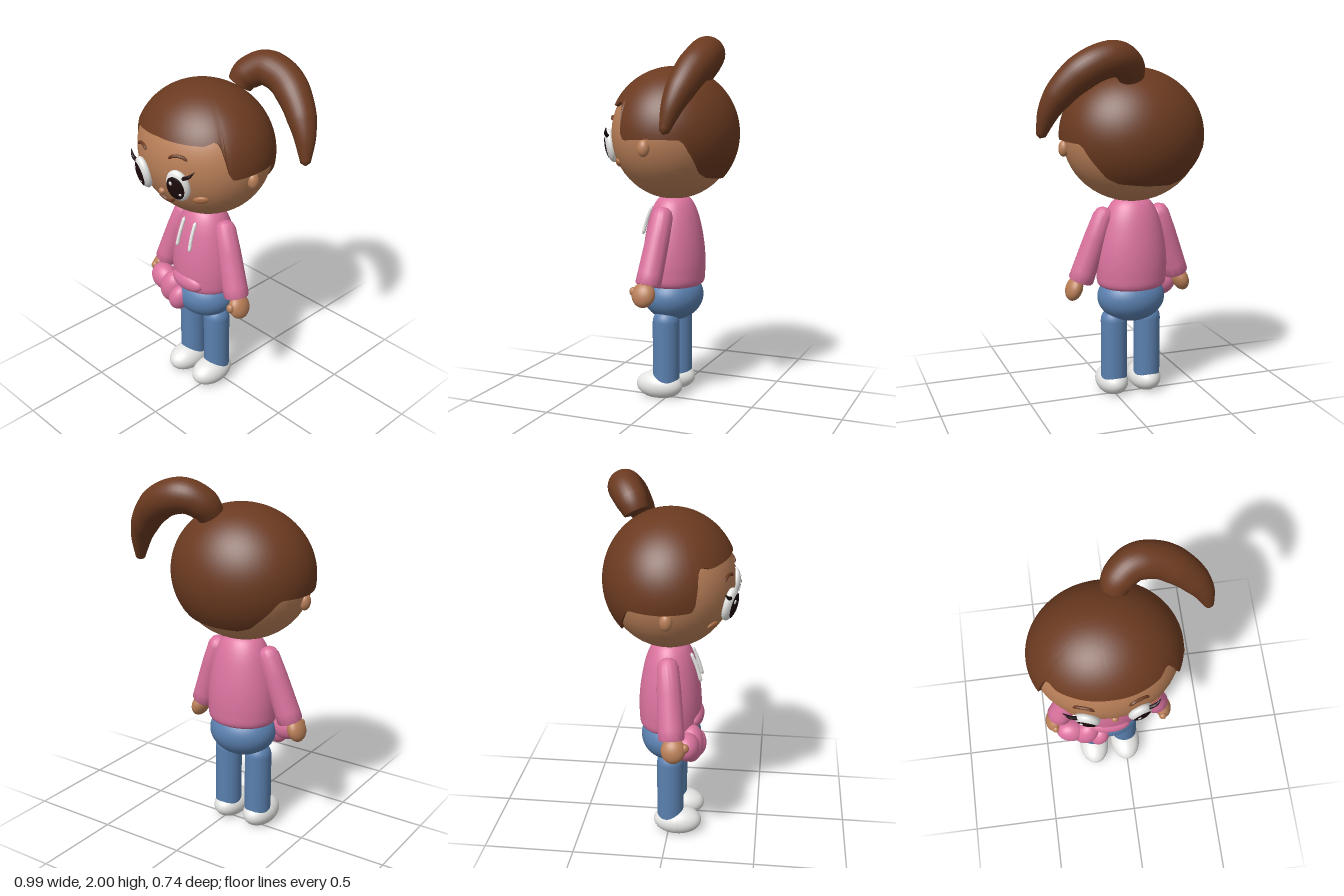
import * as THREE from 'three';
import { toCreasedNormals } from 'three/addons/utils/BufferGeometryUtils.js';

const mat = (name, color) => Object.assign(new THREE.MeshStandardMaterial({ color }), { name });
const V = (x, y, z) => new THREE.Vector3(x, y, z);
const CX = -0.1; // body axis

function add(parent, name, geometry, material, pos = [0, 0, 0]) {
  const mesh = new THREE.Mesh(geometry, material);
  mesh.name = name;
  mesh.position.set(...pos);
  parent.add(mesh);
  return mesh;
}

function ellipsoid(parent, name, material, pos, radii, roll = 0) {
  const mesh = add(parent, name, new THREE.SphereGeometry(1, 40, 28), material, pos);
  mesh.scale.set(...radii);
  mesh.rotation.z = roll;
  return mesh;
}

// Smooth lathe from a few [radius, y] points, listed bottom to top
function lathe(points) {
  const curve = new THREE.SplineCurve(points.map(p => new THREE.Vector2(...p)));
  const profile = curve.getPoints(40).map(p => new THREE.Vector2(Math.max(p.x, 0), p.y));
  return new THREE.LatheGeometry(profile, 40);
}

// Linear lookup in a list of [key, value] pairs
function lookup(table, k) {
  for (let i = 1; i < table.length; i++) {
    const [k0, v0] = table[i - 1], [k1, v1] = table[i];
    if (k <= k1) return v0 + (v1 - v0) * (k - k0) / (k1 - k0);
  }
  return table[table.length - 1][1];
}

// Closed tube along points, its radius given by [t, radius] pairs
function taperedTube(points, radii, segments = 32, sides = 20) {
  const curve = new THREE.CatmullRomCurve3(points.map(p => V(...p)));
  const geo = new THREE.TubeGeometry(curve, segments, 1, sides);
  const pos = geo.attributes.position, v = V(0, 0, 0);
  for (let i = 0; i <= segments; i++) {
    const c = curve.getPointAt(i / segments), r = lookup(radii, i / segments);
    for (let j = 0; j <= sides; j++) {
      const k = i * (sides + 1) + j;
      v.fromBufferAttribute(pos, k).sub(c).multiplyScalar(r).add(c);
      pos.setXYZ(k, v.x, v.y, v.z);
    }
  }
  return toCreasedNormals(geo, 0.9);
}

// Hair shell: an ellipsoid cut along a hairline, with a lip turned in to the skin
function hairGeometry() {
  const [rx, ry, rz] = [0.402, 0.37, 0.358], cols = 144, rows = 28;
  const hairline = [[0, 0.16], [44, 0.15], [54, 0.17], [58, 0.14], [63, -0.02], [66, -0.04],
    [118, -0.04], [122, -0.055], [128, -0.11], [141, -0.21], [152, -0.235], [180, -0.24]];
  const pos = [], index = [];
  for (let i = 0; i <= rows + 1; i++) {
    for (let j = 0; j <= cols; j++) {
      const a = (j / cols) * 2 * Math.PI, deg = a * 180 / Math.PI;
      const edge = lookup(hairline, Math.min(deg, 360 - deg)) - 0.018 * Math.sin(a) * Math.max(Math.cos(a), 0);
      const phi = Math.acos(edge / ry) * Math.min(i / rows, 1), s = i > rows ? 0.92 : 1;
      pos.push(s * rx * Math.sin(phi) * Math.sin(a), s * ry * Math.cos(phi), s * rz * Math.sin(phi) * Math.cos(a));
      if (i <= rows && j < cols) {
        const p = i * (cols + 1) + j, q = p + cols + 1;
        if (i > 0) index.push(p, q + 1, p + 1);
        index.push(p, q, q + 1);
      }
    }
  }
  const geo = new THREE.BufferGeometry();
  geo.setAttribute('position', new THREE.Float32BufferAttribute(pos, 3));
  geo.setIndex(index);
  return toCreasedNormals(geo, 0.9);
}

export function createModel() {
  const model = new THREE.Group();
  model.name = 'girl';
  const skin = mat('skin', 0xb97f58), cheek = mat('cheek', 0xb5744a), hair = mat('hair brown', 0x6b3a20);
  const pink = mat('hoodie pink', 0xdb739f), blue = mat('jeans blue', 0x5a80af);
  const white = mat('white', 0xe6e6e4), dark = mat('pupil dark', 0x1c0a0c);

  // Head, tilted a little
  const head = new THREE.Group();
  head.name = 'head';
  head.position.set(CX, 1.485, 0);
  head.rotation.z = 0.07;
  model.add(head);
  const H = [0.385, 0.362, 0.342];
  ellipsoid(head, 'face', skin, [0, 0, 0], H);
  add(head, 'hairCap', hairGeometry(), hair);

  // Point on the face, raised by d, and the outward direction there
  const faceZ = (x, y) => H[2] * Math.sqrt(1 - (x / H[0]) ** 2 - (y / H[1]) ** 2);
  const onFace = (x, y, d = 0) => [x, y, faceZ(x, y) + d];
  const faceTurn = (x, y) => new THREE.Quaternion().setFromUnitVectors(V(0, 0, 1),
    V(x / H[0] ** 2, y / H[1] ** 2, faceZ(x, y) / H[2] ** 2).normalize());

  for (const s of [-1, 1]) {
    const side = s > 0 ? 'left' : 'right';
    ellipsoid(head, side + 'Ear', skin, [s * 0.376, -0.085, 0.02], [0.03, 0.046, 0.033]);

    // Eye: white, pupil cap and highlights
    const eye = new THREE.Group();
    eye.name = side + 'Eye';
    eye.position.set(...onFace(s * 0.135, -0.077, 0.008));
    eye.quaternion.copy(faceTurn(s * 0.135, -0.077));
    head.add(eye);
    ellipsoid(eye, 'eyeWhite', white, [0, 0, 0], [0.066, 0.093, 0.036]);
    const cap = new THREE.SphereGeometry(1, 36, 10, 0, Math.PI * 2, 0, 0.84).rotateX(Math.PI / 2);
    add(eye, 'pupil', cap, dark, [-s * 0.003, 0, 0.001]).scale.set(0.067, 0.094, 0.038);
    ellipsoid(eye, 'highlight', white, [-0.02, 0.032, 0.033], [0.011, 0.013, 0.005]);
    ellipsoid(eye, 'smallHighlight', white, [0.02, -0.032, 0.033], [0.008, 0.009, 0.004]);

    add(head, side + 'Lash', taperedTube(
      [[s * 0.18, -0.025, 0.325], [s * 0.215, -0.01, 0.32], [s * 0.248, 0.022, 0.303]],
      [[0, 0.011], [0.5, 0.009], [1, 0.001]], 12, 10), dark);
    add(head, side + 'Brow', taperedTube(
      [-0.052, -0.025, 0.025, 0.052].map(u => onFace(s * 0.138 + u, 0.085 - 8 * u * u, 0.004)),
      [[0, 0.002], [0.12, 0.009], [0.88, 0.009], [1, 0.002]], 20, 10), hair);
    ellipsoid(head, side + 'Cheek', cheek, onFace(s * 0.21, -0.167), [0.042, 0.025, 0.014])
      .quaternion.copy(faceTurn(s * 0.21, -0.167));
  }
  ellipsoid(head, 'nose', skin, onFace(0, -0.146, 0.004), [0.02, 0.018, 0.018]);
  add(head, 'mouth', taperedTube(
    [-0.06, -0.03, 0, 0.03, 0.06].map(u => onFace(u, -0.215 + 8 * u * u, 0.002)),
    [[0, 0.002], [0.1, 0.009], [0.9, 0.009], [1, 0.002]], 24, 10), hair);

  // Ponytail sweeping over to the left
  add(model, 'ponytail', taperedTube(
    [[-0.03, 1.8, -0.18], [0, 1.865, -0.215], [0.08, 1.91, -0.26], [0.2, 1.885, -0.272],
      [0.32, 1.8, -0.245], [0.415, 1.67, -0.205], [0.465, 1.51, -0.168]],
    [[0, 0.001], [0.02, 0.07], [0.1, 0.085], [0.28, 0.094], [0.5, 0.092], [0.7, 0.076],
      [0.85, 0.052], [0.98, 0.026], [1, 0.001]], 50, 28), hair);

  // Hoodie body
  add(model, 'hoodie', lathe([[0, 0.635], [0.1, 0.635], [0.185, 0.645], [0.2, 0.72], [0.198, 0.82],
    [0.182, 0.93], [0.152, 1.04], [0.11, 1.115], [0.05, 1.15], [0, 1.155]]), pink, [CX, 0, 0])
    .scale.z = 0.86;
  ellipsoid(model, 'pocket', pink, [CX, 0.695, 0.14], [0.115, 0.058, 0.048]);
  for (const s of [-1, 1]) {
    add(model, 'drawstring', taperedTube(
      [[CX + s * 0.044, 1.08, 0.115], [CX + s * 0.046, 1, 0.148], [CX + s * 0.05, 0.915, 0.172]],
      [[0, 0.001], [0.06, 0.01], [0.94, 0.01], [1, 0.001]], 16, 12), white);
  }

  // Gathered cloth bundle at the right hip, three overlapping folds
  const folds = [[-0.325, 0.605, 0.115, 0.09, 0.078], [-0.24, 0.585, 0.13, 0.075, 0.105], [-0.168, 0.55, 0.14, 0.06, 0.085]];
  for (const [x, y, z, rx, ry] of folds) ellipsoid(model, 'clothFold', pink, [x, y, z], [rx, ry, 0.068], -0.35);

  // Jeans, shoes, arms and hands
  ellipsoid(model, 'hips', blue, [CX, 0.572, 0.005], [0.193, 0.142, 0.167]);
  for (const s of [-1, 1]) {
    const side = s > 0 ? 'left' : 'right';
    add(model, side + 'Leg', new THREE.CapsuleGeometry(0.075, 0.33, 10, 32), blue, [CX + s * 0.1, 0.27, 0.01]);

    const shoe = new THREE.SphereGeometry(1, 40, 28).scale(0.09, 0.08, 0.136);
    const p = shoe.attributes.position;
    for (let i = 0; i < p.count; i++) p.setY(i, Math.max(p.getY(i), -0.065));
    shoe.computeVertexNormals();
    add(model, side + 'Shoe', shoe, white, [CX + s * 0.1, 0.065, 0.05]);

    const wrist = V(CX + s * 0.288, 0.675, 0.038), shoulder = V(CX + s * 0.148, 1.09, 0);
    const up = shoulder.clone().sub(wrist), len = up.length();
    const profile = [[0, 0], [0.066, 0], [0.071, 0.01], [0.07, 0.06], [0.065, len * 0.6], [0.058, len - 0.05],
      [0.045, len - 0.018], [0.025, len - 0.004], [0, len]].map(q => new THREE.Vector2(...q));
    const arm = add(model, side + 'Sleeve', toCreasedNormals(new THREE.LatheGeometry(profile, 36), 0.9), pink, wrist.toArray());
    arm.quaternion.setFromUnitVectors(V(0, 1, 0), up.normalize());

    ellipsoid(model, side + 'Hand', skin, [CX + s * 0.322, 0.63, 0.05], [0.046, 0.07, 0.066], s * 0.35);
    ellipsoid(model, side + 'Thumb', skin, [CX + s * 0.315, 0.642, 0.112], [0.022, 0.026, 0.022]);
  }
  return model;
}
